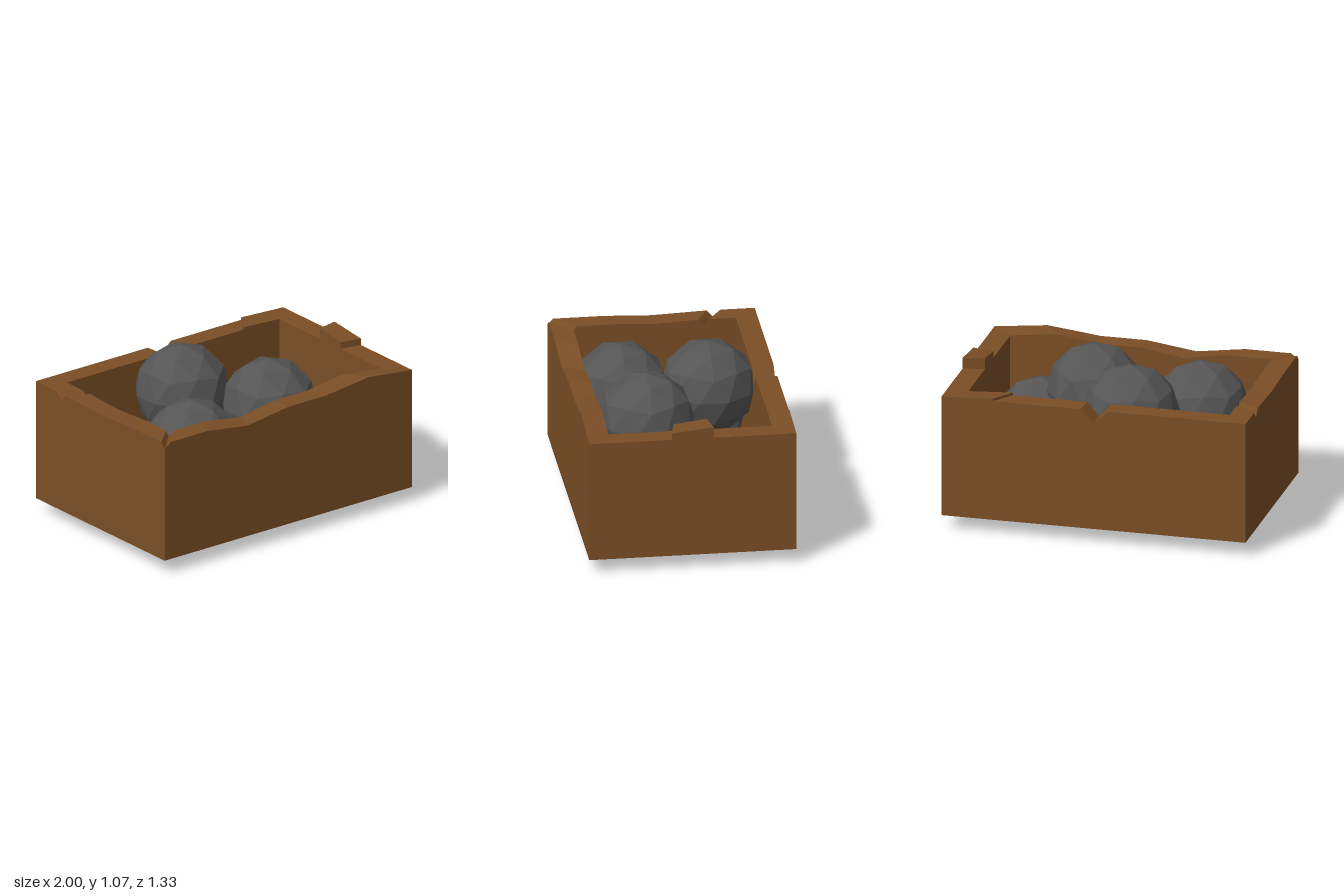
import * as THREE from 'three';

const BOTTOM = 0.1, FLOOR = 0.23, RIM = 0.905;
const HX = 1, HZ = 0.665;          // outer half sizes
const IX = 0.86, IZ = 0.79;        // inner outline relative to the outer one

// Rim heights along each wall as [position, height], running round the crate
const frontRim = [[-1, 0.87], [-0.95, RIM], [-0.65, RIM], [-0.33, 0.86], [0, RIM], [0.3, RIM], [0.65, 0.945]];
const rightRim = [[HZ, RIM], [0.135, RIM], [0.135, 0.95], [-0.135, 0.978], [-0.135, RIM]];
const backRim = [[1, RIM], [0.66, 0.922], [0.66, RIM], [0.09, RIM], [0, 0.815], [-0.095, RIM]];
const leftRim = [[-HZ, RIM], [-0.445, RIM], [-0.4, 0.857], [-0.355, RIM], [0, 0.892], [0.3, RIM], [0.63, RIM]];

function crateGeometry() {
  const stations = [
    ...frontRim.map(([x, y]) => [x, y, HZ]),
    ...rightRim.map(([z, y]) => [HX, y, z]),
    ...backRim.map(([x, y]) => [x, y, -HZ]),
    ...leftRim.map(([z, y]) => [-HX, y, z]),
  ];
  // Cross-section of the wall: outer bottom, outer top, inner top, inner bottom
  const section = ([x, y, z]) => [
    [x, BOTTOM, z], [x, y, z], [x * IX, y, z * IZ], [x * IX, FLOOR, z * IZ],
  ];
  const pos = [];
  const quad = (a, b, c, d) => pos.push(...a, ...b, ...c, ...a, ...c, ...d);

  stations.forEach((s, i) => {
    const p = section(s), q = section(stations[(i + 1) % stations.length]);
    for (let k = 0; k < 3; k++) quad(p[k], q[k], q[k + 1], p[k + 1]);
  });

  // Inner floor and underside
  const x = HX * IX, z = HZ * IZ;
  quad([-x, FLOOR, z], [x, FLOOR, z], [x, FLOOR, -z], [-x, FLOOR, -z]);
  quad([-HX, BOTTOM, -HZ], [HX, BOTTOM, -HZ], [HX, BOTTOM, HZ], [-HX, BOTTOM, HZ]);

  const geo = new THREE.BufferGeometry();
  geo.setAttribute('position', new THREE.Float32BufferAttribute(pos, 3));
  geo.computeVertexNormals();
  return geo;
}

export function createModel() {
  const model = new THREE.Group();
  model.name = 'crateOfBalls';

  const wood = new THREE.MeshStandardMaterial({ color: 0x7a4e26, flatShading: true });
  const iron = new THREE.MeshStandardMaterial({ color: 0x555555, flatShading: true });

  const crate = new THREE.Mesh(crateGeometry(), wood);
  crate.name = 'crate';
  model.add(crate);

  // Faceted ball standing on a vertex
  const ballGeo = new THREE.IcosahedronGeometry(0.31, 1);
  ballGeo.rotateZ(Math.atan(2 / (1 + Math.sqrt(5))));
  ballGeo.rotateY(Math.PI);

  const balls = new THREE.Group();
  balls.name = 'balls';
  const centres = [
    [-0.56, 0.355, -0.225], [0.41, 0.355, -0.225], [0.04, 0.315, 0.205], [0.6, 0.407, 0.33],
    [-0.465, 0.635, 0.27], [-0.14, 0.765, -0.25], [0.215, 0.72, 0.195],
  ];
  centres.forEach((c, i) => {
    const ball = new THREE.Mesh(ballGeo, iron);
    ball.name = `ball${i + 1}`;
    ball.position.set(...c);
    balls.add(ball);
  });
  model.add(balls);

  return model;
}
